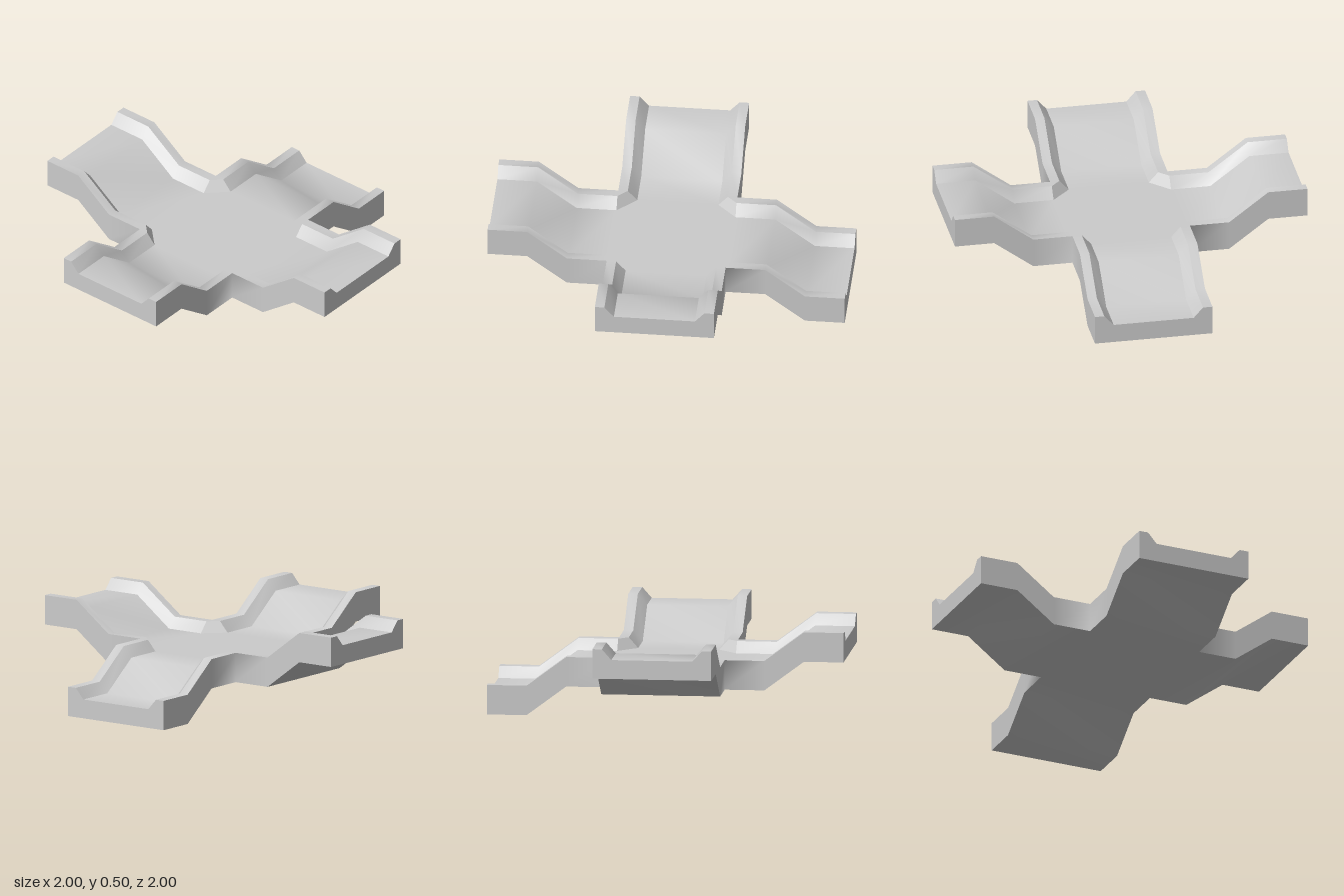
import * as THREE from 'three';
import { mergeVertices } from 'three/addons/utils/BufferGeometryUtils.js';

// Four-way channel crossing: three arms step up, the back arm steps down.
const W = 1 / 3, RIM = 0.28, FLOOR = 0.227;      // half widths
const T = 1 / 6, F = 0.107, BASE = 1 / 6;        // rim height, floor height, level of the crossing

// Arm cross-section, clockwise from the upper left
const SECTION = [
  [-W, T], [-RIM, T], [-FLOOR, F], [FLOOR, F], [RIM, T], [W, T], [W, 0], [-W, 0],
];
const STRIPS = ['rims', 'bevel', 'floor', 'bevel', 'rims', 'outerWalls', 'underside', 'outerWalls'];
const STATIONS = [[W, 0], [5 / 9, 0], [7 / 9, 1], [1, 1]]; // distance from centre, share of the step

export function createModel() {
  const group = new THREE.Group();
  const material = new THREE.MeshStandardMaterial({ color: 0xcccccc });
  const surfaces = {};

  // Adds a convex polygon to a named surface; each surface is shaded smoothly on its own
  const face = (name, ...points) => {
    const list = (surfaces[name] ??= []);
    for (let i = 1; i < points.length - 1; i++) {
      list.push(...points[0], ...points[i], ...points[i + 1]);
    }
  };

  const arms = [['front', 1], ['left', 1], ['back', -1], ['right', 1]];
  arms.forEach(([arm, rise], k) => {
    const c = [1, 0, -1, 0][k], s = [0, 1, 0, -1][k];
    const at = (u, y, d) => [u * c + d * s, y + BASE, d * c - u * s];

    // Swept channel
    for (let i = 0; i < 3; i++) {
      const [d0, h0] = STATIONS[i], [d1, h1] = STATIONS[i + 1];
      const y0 = h0 * rise * T, y1 = h1 * rise * T;
      SECTION.forEach(([ua, ya], j) => {
        const [ub, yb] = SECTION[(j + 1) % 8];
        const name = STRIPS[j] === 'bevel' ? arm + 'Bevels' : STRIPS[j];
        face(name, at(ua, ya + y0, d0), at(ua, ya + y1, d1), at(ub, yb + y1, d1), at(ub, yb + y0, d0));
      });
    }

    // Flat end of the arm
    for (const ids of [[7, 2, 1, 0], [7, 6, 3, 2], [6, 5, 4, 3]]) {
      face(arm + 'End', ...ids.map((n) => at(SECTION[n][0], SECTION[n][1] + rise * T, 1)));
    }

    // Corner rim and its diagonal bevel
    face('rims', at(RIM, T, W), at(W, T, W), at(W, T, RIM));
    face(arm + 'CornerBevel', at(RIM, T, W), at(W, T, RIM), at(W, F, FLOOR), at(FLOOR, F, W));

    // This quarter of the crossing's floor and underside
    face('floor', at(0, F, 0), at(-FLOOR, F, W), at(FLOOR, F, W), at(W, F, FLOOR));
    face('underside', at(0, 0, 0), at(W, 0, W), at(-W, 0, W));
  });

  for (const [name, positions] of Object.entries(surfaces)) {
    let geometry = new THREE.BufferGeometry();
    geometry.setAttribute('position', new THREE.Float32BufferAttribute(positions, 3));
    geometry = mergeVertices(geometry);
    geometry.computeVertexNormals();
    const mesh = new THREE.Mesh(geometry, material);
    mesh.name = name;
    group.add(mesh);
  }
  group.name = 'channelCrossing';
  return group;
}
